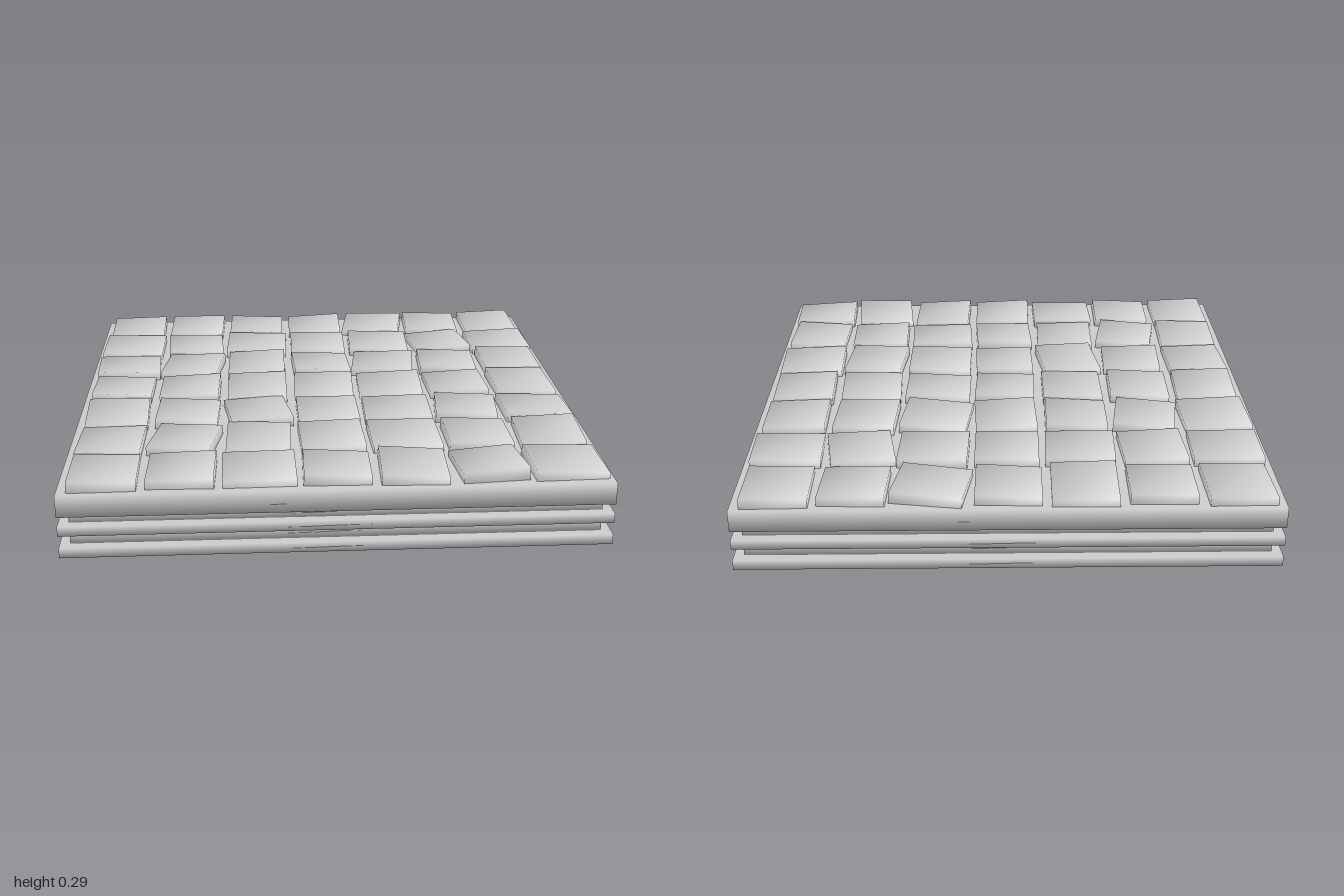
import * as THREE from 'three';
import { mergeVertices } from 'three/addons/utils/BufferGeometryUtils.js';

const material = new THREE.MeshStandardMaterial({ color: 0xcccccc });

// Box with shared corners, so its shading runs smoothly over the edges
function softBox(w, h, d) {
  const box = new THREE.BoxGeometry(w, h, d);
  box.deleteAttribute('normal');
  box.deleteAttribute('uv');
  const merged = mergeVertices(box);
  merged.computeVertexNormals();
  return merged;
}

function addBox(parent, name, w, h, d, y) {
  const mesh = new THREE.Mesh(softBox(w, h, d), material);
  mesh.name = name;
  mesh.position.y = y;
  parent.add(mesh);
  return mesh;
}

// Small seeded generator returning -1..1
function seeded(seed) {
  return () => {
    seed = (seed * 16807) % 2147483647;
    return (seed / 2147483647) * 2 - 1;
  };
}

// Stone shapes by row from the back: s = small, w = wide, d = deep
const SHAPES = ['dsdswsd', 'wswswsw', 'wsdswsd', 'ssdswsd', 'dsdswsw', 'dsdswsd', 'dswsdsw'];

// Turn of each stone in degrees, clockwise from above
const TURNS = [
  [-1, 1, 1, 1, 9, 2, -1],
  [1, -3, 2, 1, 2, -9, -2],
  [-3, 8, 1, -2, 7, 3, -1],
  [1, 1, 0, 2, 1, -2, -2],
  [-2, 2, -8, -1, 1, 6, -1],
  [1, 10, 1, -2, -2, -1, 2],
  [-1, 1, -1, 1, 2, -5, -2],
];

export function createModel() {
  const model = new THREE.Group();
  model.name = 'pavedPlatform';

  // Stacked slabs with recessed bands between them: [name, width, bottom, top]
  const layers = [
    ['baseSlab', 2, 0, 0.038],
    ['lowerRecess', 1.925, 0.038, 0.086],
    ['middleBand', 2, 0.086, 0.122],
    ['upperRecess', 1.925, 0.122, 0.16],
    ['topSlab', 2, 0.16, 0.243],
  ];
  for (const [name, w, y0, y1] of layers) addBox(model, name, w, y1 - y0, w, (y0 + y1) / 2);

  // Slightly crooked paving stones sunk into the top slab
  const stones = new THREE.Group();
  stones.name = 'pavingStones';
  model.add(stones);
  const rand = seeded(4711);
  const pitch = 0.281, height = 0.08;
  SHAPES.forEach((row, r) => [...row].forEach((shape, c) => {
    const w = shape === 'w' ? 0.267 : 0.245;
    const d = shape === 'd' ? 0.272 : 0.248;
    const top = 0.276 + rand() * 0.004;
    const stone = addBox(stones, 'pavingStone', w, height, d, top - height / 2);
    stone.position.x = (c - 3) * pitch;
    stone.position.z = (r - 3) * pitch - 0.003;
    stone.rotation.set(
      THREE.MathUtils.degToRad(rand() * 3.2),
      THREE.MathUtils.degToRad(-TURNS[r][c]),
      THREE.MathUtils.degToRad(rand() * 3.2),
      'YXZ'
    );
  }));
  return model;
}
